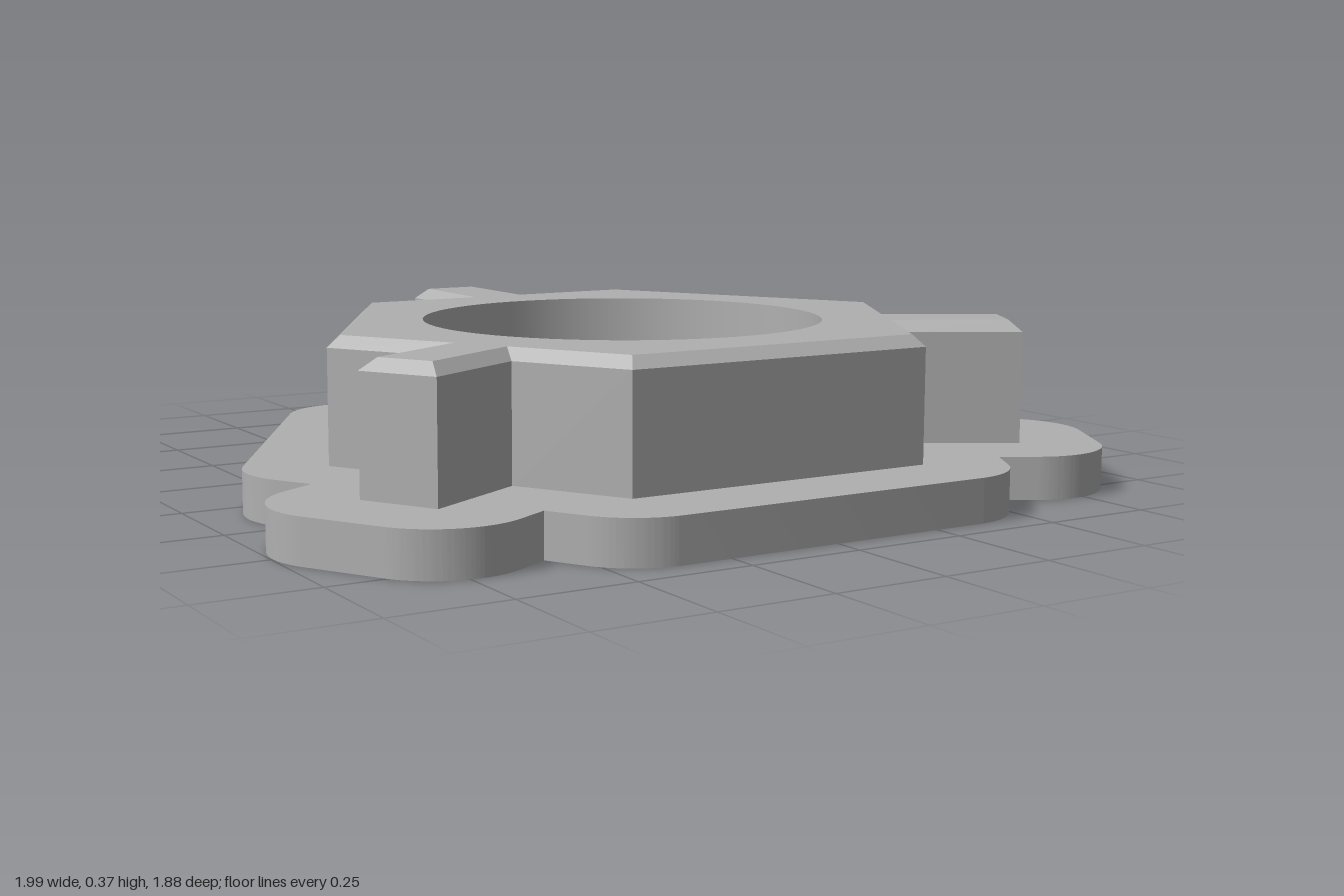
import * as THREE from 'three';
import { toCreasedNormals } from 'three/addons/utils/BufferGeometryUtils.js';

const CENTRE_Z = 0.13;   // hexagon centre, so the whole part is centred on z
const APOTHEM = 0.625;   // hexagon centre to edge
const TAB_HALF = 0.09;   // half width of a tab
const TAB_END = 0.89;    // hexagon centre to tab end
const BORE = 0.45;
const FLANGE_TOP = 0.095, BEVEL_Y = 0.345, TOP = 0.37;

// Hexagon with three tabs, grown by d, counter-clockwise in plan (y = back)
function outline(d) {
  const a = APOTHEM + d, c = a / Math.sqrt(3), w = TAB_HALF + d, e = TAB_END + d;
  const side = [[c, a], [w, a], [w, e], [-w, e], [-w, a], [-c, a]];
  const pts = [];
  for (let k = 0; k < 3; k++) {
    for (const [x, y] of side) {
      pts.push(new THREE.Vector2(x, y).rotateAround(new THREE.Vector2(), k * 2 * Math.PI / 3));
    }
  }
  return pts;
}

// The same outline grown by r, with round outer corners
function roundedOutline(r) {
  const shape = new THREE.Shape();
  const base = outline(0), grown = outline(r);
  const deg = Math.PI / 180;
  for (let k = 0; k < 3; k++) {
    const turn = k * 120, i = k * 6;
    const arc = (n, from, to) =>
      shape.absarc(base[i + n].x, base[i + n].y, r, (from + turn) * deg, (to + turn) * deg, false);
    arc(0, 30, 90);
    shape.lineTo(grown[i + 1].x, grown[i + 1].y);
    arc(2, 0, 90);
    arc(3, 90, 180);
    shape.lineTo(grown[i + 4].x, grown[i + 4].y);
    arc(5, 90, 150);
  }
  shape.closePath();
  return shape;
}

function addBore(shape) {
  shape.holes.push(new THREE.Path().absarc(0, 0, BORE, 0, Math.PI * 2, true));
  return shape;
}

// Flat-sided walls joining outlines stacked at given heights
function loft(rings) {
  const pos = [];
  for (let r = 0; r < rings.length - 1; r++) {
    const lo = rings[r], hi = rings[r + 1], n = lo.pts.length;
    for (let i = 0; i < n; i++) {
      const j = (i + 1) % n;
      const p = (ring, m) => [ring.pts[m].x, ring.y, -ring.pts[m].y];
      pos.push(...p(lo, i), ...p(lo, j), ...p(hi, j), ...p(lo, i), ...p(hi, j), ...p(hi, i));
    }
  }
  const geo = new THREE.BufferGeometry();
  geo.setAttribute('position', new THREE.Float32BufferAttribute(pos, 3));
  geo.computeVertexNormals();
  return geo;
}

export function createModel() {
  const group = new THREE.Group();
  group.name = 'flangedHexCollar';
  const grey = new THREE.MeshStandardMaterial({ color: 0xb0b0b0 });
  grey.name = 'grey';

  const add = (name, geo) => {
    const mesh = new THREE.Mesh(geo, grey);
    mesh.name = name;
    mesh.position.z = CENTRE_Z;
    group.add(mesh);
  };

  // Rounded base flange
  const flange = new THREE.ExtrudeGeometry(addBore(roundedOutline(0.18)), {
    depth: FLANGE_TOP, bevelEnabled: false, curveSegments: 32,
  });
  flange.rotateX(-Math.PI / 2);
  add('flange', toCreasedNormals(flange, 0.5));

  // Hexagonal body with tabs and a bevelled upper edge
  const full = outline(0), inset = outline(-0.027);
  add('bodyWalls', loft([
    { pts: full, y: FLANGE_TOP },
    { pts: full, y: BEVEL_Y },
    { pts: inset, y: TOP },
  ]));

  // Top face around the bore
  const top = new THREE.ShapeGeometry(addBore(new THREE.Shape(inset)), 32);
  top.rotateX(-Math.PI / 2).translate(0, TOP, 0);
  add('topFace', top);

  // Inward-facing bore wall above the flange
  add('boreWall', new THREE.LatheGeometry(
    [new THREE.Vector2(BORE, TOP), new THREE.Vector2(BORE, FLANGE_TOP)], 64));

  return group;
}
